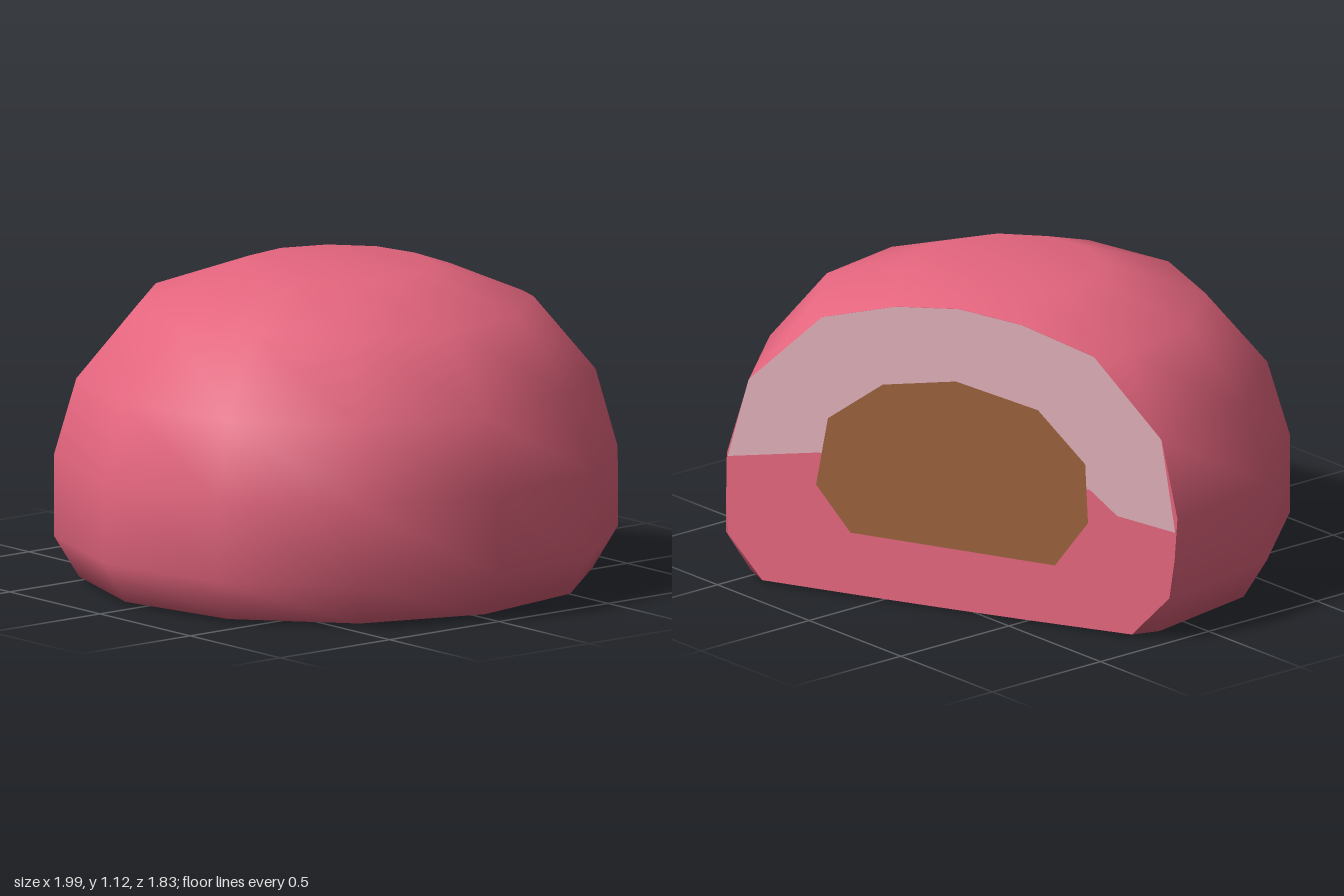
import * as THREE from 'three';

const pink = new THREE.MeshStandardMaterial({ name: 'pink skin', color: 0xe4657e });
const pale = new THREE.MeshStandardMaterial({ name: 'pale pink flesh', color: 0xdcaeb6 });
const brown = new THREE.MeshStandardMaterial({ name: 'brown filling', color: 0x99603a });

// The slice is a slightly leaning plane: z as a function of height
const cutZ = (y) => 0.53 - 0.1 * y;
const overCut = (v) => v[2] - cutZ(v[1]);

// Cuts a geometry at the slice plane, keeping its smooth normals, and collects the rim
function slice(source) {
  const geo = source.toNonIndexed();
  const p = geo.attributes.position, n = geo.attributes.normal;
  const pos = [], nor = [], rim = [];
  for (let i = 0; i < p.count; i += 3) {
    const tri = [0, 1, 2].map((k) => [
      p.getX(i + k), p.getY(i + k), p.getZ(i + k),
      n.getX(i + k), n.getY(i + k), n.getZ(i + k)]);
    const poly = [];
    tri.forEach((a, k) => {
      const b = tri[(k + 1) % 3], da = overCut(a), db = overCut(b);
      if (da <= 0) poly.push(a);
      if ((da <= 0) !== (db <= 0)) {
        const f = da / (da - db);
        const c = a.map((v, j) => v + (b[j] - v) * f);
        poly.push(c);
        rim.push(new THREE.Vector2(c[0], c[1]));
      }
    });
    for (let k = 1; k + 1 < poly.length; k++) {
      for (const v of [poly[0], poly[k], poly[k + 1]]) {
        pos.push(...v.slice(0, 3));
        nor.push(...v.slice(3));
      }
    }
  }
  const out = new THREE.BufferGeometry();
  out.setAttribute('position', new THREE.Float32BufferAttribute(pos, 3));
  out.setAttribute('normal', new THREE.Float32BufferAttribute(nor, 3));
  return { geometry: out, rim };
}

// Flat patch lying on the slice plane, raised a little
function patch(points, lift, material, name) {
  const geo = new THREE.ShapeGeometry(new THREE.Shape(points));
  const p = geo.attributes.position;
  for (let i = 0; i < p.count; i++) p.setZ(i, cutZ(p.getY(i)) + lift);
  geo.computeVertexNormals();
  const mesh = new THREE.Mesh(geo, material);
  mesh.name = name;
  return mesh;
}

const toPoints = (list) => list.map(([x, y]) => new THREE.Vector2(x, y));

export function createModel() {
  const model = new THREE.Group();
  model.name = 'slicedBun';
  const bun = new THREE.Group();
  bun.name = 'bun';

  // Twelve-sided dome, sliced off on one side
  const profile = toPoints([[0, 0], [0.91, 0.01], [1, 0.16], [1, 0.45],
    [0.92, 0.725], [0.7, 0.99], [0.34, 1.12], [0, 1.12]]);
  const { geometry, rim } = slice(new THREE.LatheGeometry(profile, 12));
  const dome = new THREE.Mesh(geometry, pink);
  dome.name = 'dome';
  bun.add(dome);

  // Slice outline, put in order around its middle
  const angle = (v) => Math.atan2(v.y - 0.5, v.x);
  const outline = rim.sort((a, b) => angle(a) - angle(b))
    .filter((v, i, all) => i === 0 || v.distanceTo(all[i - 1]) > 1e-4);
  bun.add(patch(outline, 0, pink, 'sliceFace'));

  // Pale upper part of the slice, above a wavy lower edge
  const upper = outline.filter((v) => v.y > 0.5);
  const edge = toPoints([[-0.865, 0.44], [-0.52, 0.5], [0.53, 0.51], [0.64, 0.43], [0.865, 0.4]]);
  bun.add(patch([...edge, ...upper], 0.003, pale, 'paleFlesh'));

  // Brown filling in the middle
  const filling = toPoints([[-0.38, 0.23], [0.41, 0.22], [0.53, 0.39], [0.51, 0.6],
    [0.32, 0.77], [0, 0.83], [-0.28, 0.78], [-0.485, 0.63], [-0.52, 0.385]]);
  bun.add(patch(filling, 0.006, brown, 'filling'));

  // Turn the slice to the back
  bun.rotation.y = Math.atan2(-0.434, -0.901);
  bun.position.z = -0.08;
  model.add(bun);
  return model;
}
